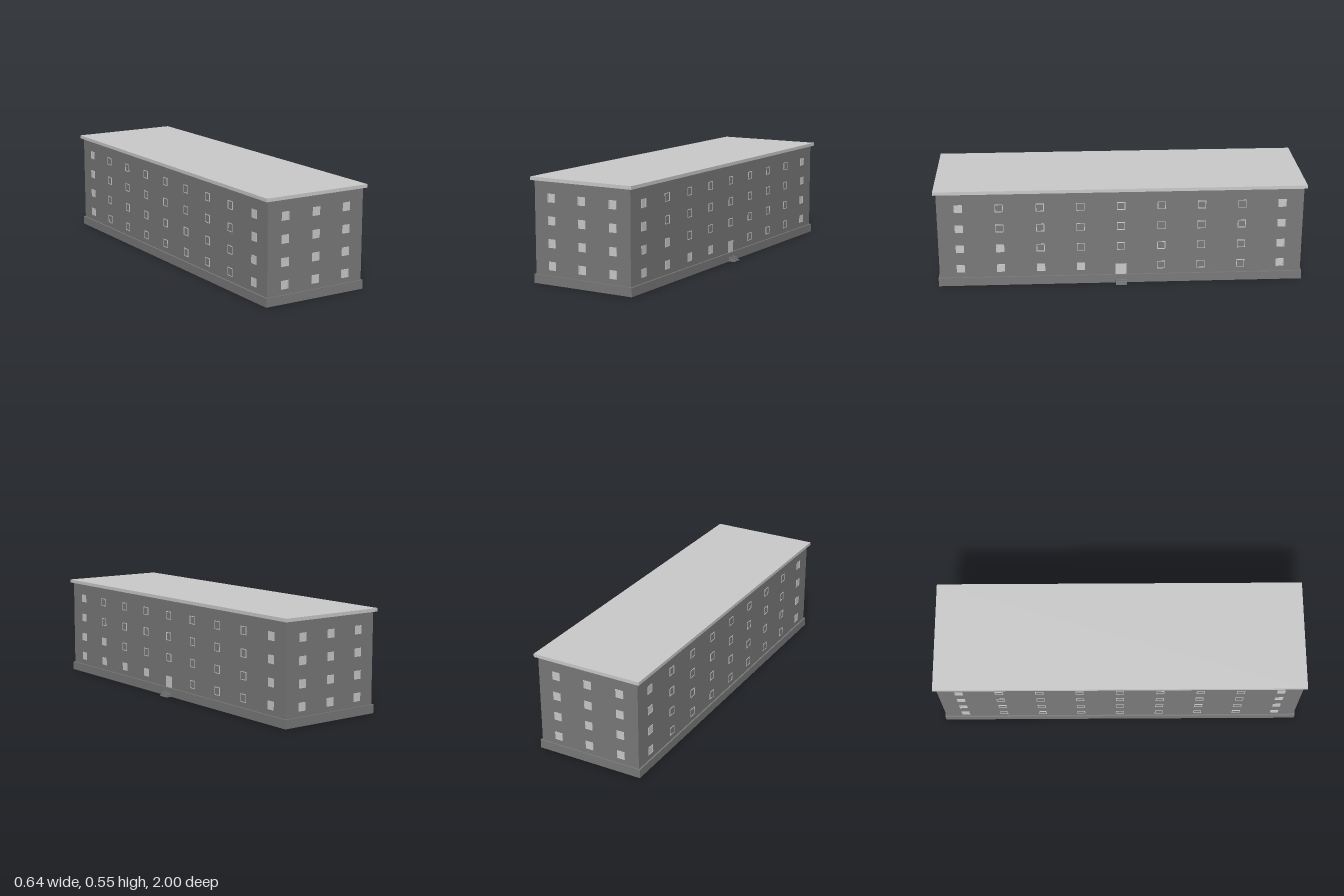
import * as THREE from 'three';

const CX = -0.014; // centre of the block; the steps stick out on +x
const HALF_W = 0.29, HALF_L = 0.985;
const ROWS = [0.098, 0.214, 0.331, 0.447];
const SIDE_COLS = [0.87, 0.653, 0.435, 0.218, 0, -0.218, -0.435, -0.653, -0.87];
const END_COLS = [-0.186, 0, 0.186];

export function createModel() {
  const model = new THREE.Group();
  model.name = 'apartmentBlock';
  const light = new THREE.MeshStandardMaterial({ color: 0xcccccc });
  const dark = new THREE.MeshStandardMaterial({ color: 0x7a7a7a });

  const add = (name, geometry, material, parent = model) => {
    const mesh = new THREE.Mesh(geometry, material);
    mesh.name = name;
    parent.add(mesh);
    return mesh;
  };
  const box = (name, material, x0, x1, y0, y1, halfZ) =>
    add(name, new THREE.BoxGeometry(x1 - x0, y1 - y0, 2 * halfZ), material)
      .position.set((x0 + x1) / 2, (y0 + y1) / 2, 0);

  // Plinth, walls and flat overhanging roof
  box('plinth', dark, -0.313, 0.285, 0, 0.047, 0.992);
  box('walls', dark, CX - HALF_W, CX + HALF_W, 0.047, 0.532, HALF_L);
  box('roof', light, -0.32, 0.292, 0.532, 0.55, 1);

  // Window frame: a thin square ring standing proud of the wall
  const square = (Type, s) => new Type([
    new THREE.Vector2(-s, -s), new THREE.Vector2(s, -s),
    new THREE.Vector2(s, s), new THREE.Vector2(-s, s),
  ]);
  const outline = square(THREE.Shape, 0.022);
  outline.holes.push(square(THREE.Path, 0.0185));
  const frameGeometry = new THREE.ExtrudeGeometry(outline, { depth: 0.0025, bevelEnabled: false });
  const paneGeometry = new THREE.PlaneGeometry(0.037, 0.037);

  // Windows of one wall, laid out in the wall's own plane
  const windowWall = (name, x, z, turn, cols, isLight, skip = () => false) => {
    const wall = new THREE.Group();
    wall.name = name;
    wall.position.set(x, 0, z);
    wall.rotation.y = turn;
    model.add(wall);
    ROWS.forEach((y, r) => cols.forEach((u, c) => {
      if (skip(r, c)) return;
      add('windowFrame', frameGeometry, light, wall).position.set(u, y, 0);
      add('windowPane', paneGeometry, isLight(r, c) ? light : dark, wall).position.set(u, y, 0.0007);
    }));
  };
  const always = () => true;
  windowWall('frontWindows', CX, HALF_L, 0, END_COLS, always);
  windowWall('backWindows', CX, -HALF_L, Math.PI, END_COLS, always);

  // Long walls: some panes are light, the others match the wall
  const lightCount = [4, 2, 1, 1];
  windowWall('entranceSideWindows', CX + HALF_W, 0, Math.PI / 2, SIDE_COLS.map((z) => -z),
    (r, c) => c < lightCount[r] || c === 8, (r, c) => r === 0 && c === 4);
  windowWall('rearSideWindows', CX - HALF_W, 0, -Math.PI / 2, SIDE_COLS,
    (r, c) => c === 0 || c === 8);

  // Door and entrance steps
  const door = add('door', new THREE.PlaneGeometry(0.06, 0.063), light);
  door.rotation.y = Math.PI / 2;
  door.position.set(CX + HALF_W + 0.0007, 0.0785, 0);
  for (let i = 0; i < 4; i++) {
    box('step', dark, 0.28, 0.318 - i * 0.0097, i * 0.0067, (i + 1) * 0.0067, 0.03);
  }

  return model;
}
